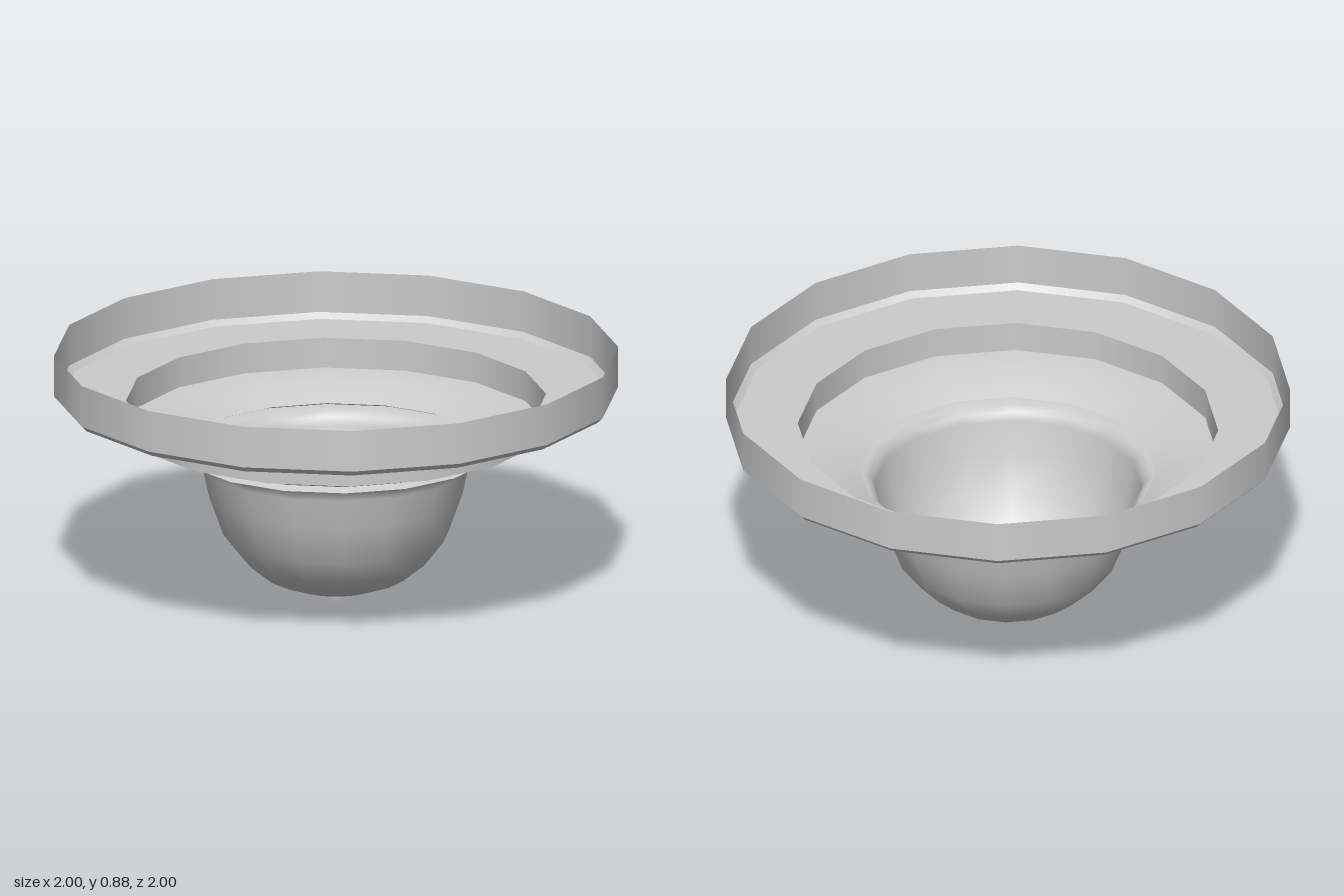
import * as THREE from 'three';

const SIDES = 16;

export function createModel() {
  const group = new THREE.Group();
  // thin shells, seen from both sides
  const material = new THREE.MeshStandardMaterial({ color: 0xcccccc, side: THREE.DoubleSide });

  // revolves a [radius, height] profile (listed bottom to top) about the y axis
  const turn = (name, profile) => {
    const points = profile.map(([r, y]) => new THREE.Vector2(r, y));
    const mesh = new THREE.Mesh(new THREE.LatheGeometry(points, SIDES), material);
    mesh.name = name;
    group.add(mesh);
  };

  // wide upper rim with a small bevel at its foot
  turn('rimWall', [[1, 0.735], [1, 0.885]]);
  turn('rimBevel', [[0.98, 0.715], [1, 0.735]]);
  turn('rimLedge', [[0.745, 0.715], [0.98, 0.715]]);

  // narrower step and the sloping shelf leading into the bowl
  turn('stepWall', [[0.745, 0.605], [0.745, 0.715]]);
  turn('slopingShelf', [[0.525, 0.538], [0.63, 0.587], [0.745, 0.605]]);

  // round bowl with an outward lip tucked under the shelf
  turn('bowlLipTop', [[0.56, 0.525], [0.525, 0.538]]);
  turn('bowl', [
    [0.055, 0.022], [0.155, 0.024], [0.25, 0.06], [0.33, 0.125], [0.4, 0.215],
    [0.45, 0.355], [0.475, 0.47], [0.485, 0.5], [0.51, 0.52], [0.56, 0.525],
  ]);

  // short drain with an open hole
  turn('drainWall', [[0.052, 0], [0.055, 0.022]]);
  turn('drainRing', [[0.035, 0], [0.052, 0]]);

  return group;
}
